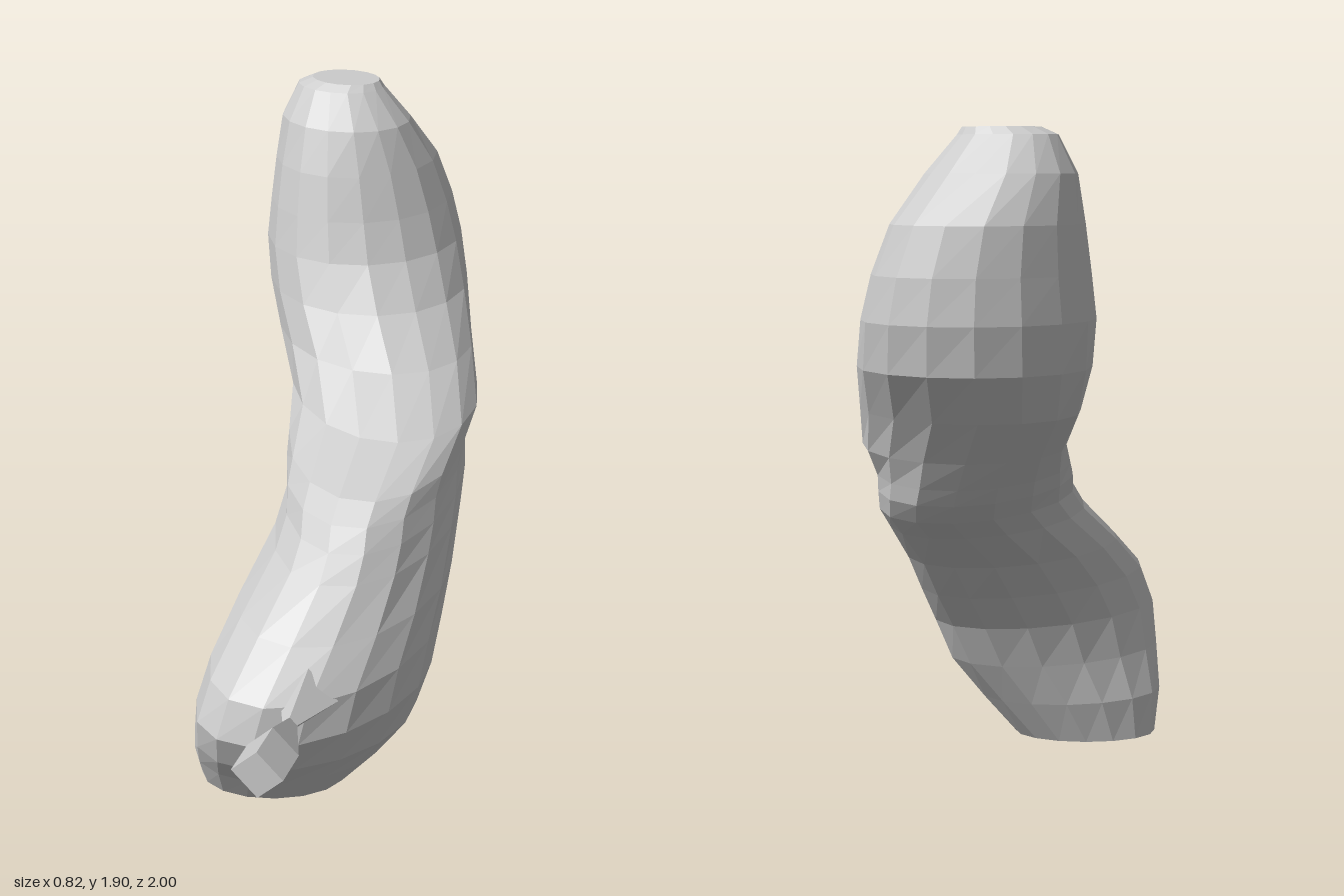
import * as THREE from 'three';

// Horizontal slices of the body, bottom to top: [y, xMin, xMax, zMin, zMax, skew]
// A positive skew slants the ellipse towards +x+z, a negative one towards +x-z.
const SLICES = [
  [0, -0.26, 0.17, 0.18, 0.49, -0.3],
  [0.13, -0.26, 0.28, 0.11, 0.58, -0.32],
  [0.26, -0.225, 0.37, 0.04, 0.69, -0.35],
  [0.39, -0.2, 0.405, -0.02, 0.755, -0.35],
  [0.51, -0.18, 0.41, -0.14, 0.725, -0.28],
  [0.63, -0.16, 0.41, -0.27, 0.575, -0.15],
  [0.76, -0.135, 0.395, -0.5, 0.43, 0.05],
  [0.83, -0.145, 0.385, -0.64, 0.365, 0.15],
  [0.89, -0.18, 0.375, -0.71, 0.31, 0.22],
  [0.94, -0.205, 0.375, -0.74, 0.235, 0.28],
  [1.02, -0.26, 0.38, -0.785, 0, 0.3],
  [1.14, -0.35, 0.31, -0.875, -0.2, 0.22],
  [1.27, -0.4, 0.24, -0.975, -0.315, 0.05],
  [1.4, -0.415, 0.19, -1, -0.385, -0.08],
  [1.52, -0.405, 0.15, -0.99, -0.425, -0.12],
  [1.65, -0.395, 0.1, -0.96, -0.465, -0.1],
  [1.78, -0.38, 0.03, -0.86, -0.515, 0],
  [1.88, -0.33, -0.055, -0.785, -0.585, 0],
  [1.9, -0.285, -0.07, -0.77, -0.61, 0],
];
const SIDES = 16;

// Skin elliptical slices into a closed, capped body
function loftSlices(slices, sides) {
  const positions = [];
  const index = [];
  const centre = ([y, x0, x1, z0, z1]) => [(x0 + x1) / 2, y, (z0 + z1) / 2];

  for (const slice of slices) {
    const [y, x0, x1, z0, z1, skew] = slice;
    const [cx, , cz] = centre(slice);
    for (let i = 0; i < sides; i++) {
      const a = (i / sides) * Math.PI * 2;
      positions.push(
        cx + (Math.cos(a - skew / 2) * (x1 - x0)) / 2,
        y,
        cz + (Math.sin(a + skew / 2) * (z1 - z0)) / 2
      );
    }
  }

  // Side walls
  for (let r = 0; r < slices.length - 1; r++) {
    for (let i = 0; i < sides; i++) {
      const j = (i + 1) % sides;
      const a = r * sides + i, b = r * sides + j;
      const c = a + sides, d = b + sides;
      index.push(a, c, b, b, c, d);
    }
  }

  // Flat end caps
  const last = slices.length - 1;
  const bottom = slices.length * sides;
  positions.push(...centre(slices[0]), ...centre(slices[last]));
  for (let i = 0; i < sides; i++) {
    const j = (i + 1) % sides;
    index.push(bottom, i, j);
    index.push(bottom + 1, last * sides + j, last * sides + i);
  }

  const geometry = new THREE.BufferGeometry();
  geometry.setAttribute('position', new THREE.Float32BufferAttribute(positions, 3));
  geometry.setIndex(index);
  const faceted = geometry.toNonIndexed();
  faceted.computeVertexNormals();
  return faceted;
}

export function createModel() {
  const group = new THREE.Group();
  const material = new THREE.MeshStandardMaterial({ color: 0xcccccc, flatShading: true });

  // Curved, leaning body
  const body = new THREE.Mesh(loftSlices(SLICES, SIDES), material);
  body.name = 'body';
  group.add(body);

  // Four-sided stem with a pinched neck, pointing forward
  const profile = [[0, 0.57], [0.09, 0.6], [0.022, 0.75], [0.075, 0.88], [0.075, 1], [0, 1]]
    .map(([r, z]) => new THREE.Vector2(r, z));
  const stemGeometry = new THREE.LatheGeometry(profile, 4).rotateX(Math.PI / 2);
  const stem = new THREE.Mesh(stemGeometry, material);
  stem.name = 'stem';
  stem.position.set(0.165, 0.5, 0);
  group.add(stem);

  return group;
}
